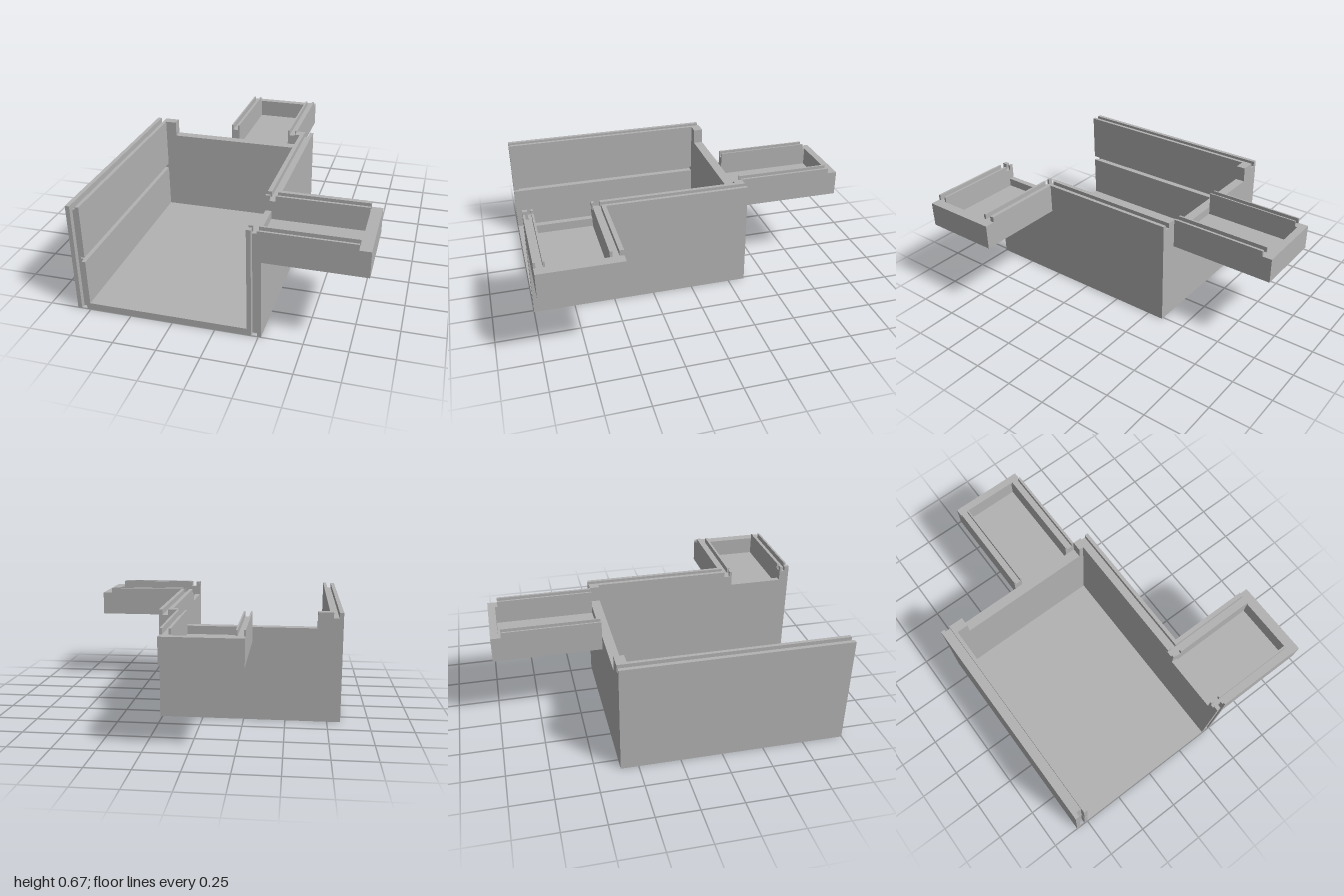
import * as THREE from 'three';

const TOP = 0.665, GROOVE = 0.632, LOW = 0.57, TRAY = 0.48, TRAY_FLOOR = 0.52;

export function createModel() {
  const model = new THREE.Group();
  model.name = 'partsBin';
  const grey = new THREE.MeshStandardMaterial({ color: 0xb2b2b2 });
  grey.name = 'plain grey';

  const add = (parent, name, geometry) => {
    const mesh = new THREE.Mesh(geometry, grey);
    mesh.name = name;
    parent.add(mesh);
  };
  const box = (parent, name, [x0, x1], [y0, y1], [z0, z1]) => {
    const g = new THREE.BoxGeometry(x1 - x0, y1 - y0, z1 - z0);
    g.translate((x0 + x1) / 2, (y0 + y1) / 2, (z0 + z1) / 2);
    add(parent, name, g);
  };
  // Wall section from a to b with a groove g0..g1 in its top edge
  const section = (a, b, g0, g1, y0, slot = []) => [
    [a, y0], [b, y0], ...slot, [b, TOP], [g1, TOP], [g1, GROOVE], [g0, GROOVE], [g0, TOP], [a, TOP],
  ];
  const extrude = (points, depth) => new THREE.ExtrudeGeometry(
    new THREE.Shape(points.map(([u, v]) => new THREE.Vector2(u, v))), { depth, bevelEnabled: false });
  const wallAlongZ = (parent, name, points, z0, z1) =>
    add(parent, name, extrude(points, z1 - z0).translate(0, 0, z0));
  const wallAlongX = (parent, name, points, x0, x1) =>
    add(parent, name, extrude(points.map(([z, y]) => [-z, y]), x1 - x0).rotateY(Math.PI / 2).translate(x0, 0, 0));
  const group = (name) => {
    const g = new THREE.Group();
    g.name = name;
    model.add(g);
    return g;
  };

  // Main bin floor and low back wall with raised corners
  const bin = group('mainBin');
  box(bin, 'floor', [-0.75, 0.185], [0, 0.042], [-0.295, 1]);
  box(bin, 'backWall', [-0.75, 0.185], [0, LOW], [-0.355, -0.295]);
  box(bin, 'backCornerRight', [-0.75, -0.68], [LOW, TOP], [-0.355, -0.295]);
  box(bin, 'backCornerLeft', [0.155, 0.185], [LOW, TOP], [-0.355, -0.295]);

  // Right wall: top groove, inner shelf slot and a front door slot
  const right = group('rightWall');
  const slot = [[-0.75, 0.32], [-0.79, 0.32], [-0.79, 0.35], [-0.75, 0.35]];
  wallAlongZ(right, 'wallEnd', section(-0.83, -0.75, -0.805, -0.772, 0), -0.355, -0.295);
  wallAlongZ(right, 'slottedWall', section(-0.83, -0.75, -0.805, -0.772, 0, slot), -0.295, 0.97);
  box(right, 'outerFrontLip', [-0.83, -0.805], [0, TOP], [0.97, 1]);
  for (const y of [[0, 0.32], [0.35, TOP]])
    box(right, 'innerFrontLip', [-0.772, -0.75], y, [0.97, 1]);

  // Left wall: grooved at the back, cut down where the side tray opens
  const left = group('leftWall');
  wallAlongZ(left, 'groovedWall', section(0.185, 0.265, 0.21, 0.243, 0), -0.355, 0.522);
  box(left, 'wallUnderTray', [0.185, 0.265], [0, TRAY], [0.522, 0.97]);
  box(left, 'traySill', [0.185, 0.22], [TRAY, LOW], [0.6, 0.938]);
  box(left, 'sillBack', [0.185, 0.243], [TRAY, GROOVE], [0.522, 0.6]);
  box(left, 'sillFront', [0.185, 0.243], [TRAY, GROOVE], [0.938, 0.97]);
  for (const z of [[0.522, 0.548], [0.585, 0.6], [0.938, 0.95]])
    box(left, 'innerLip', [0.185, 0.21], [GROOVE, TOP], z);
  box(left, 'innerFrontLip', [0.185, 0.21], [0, TOP], [0.97, 1]);
  box(left, 'outerFrontLip', [0.243, 0.265], [0, TRAY], [0.97, 1]);

  // Side tray with two grooved walls and a lower end
  const side = group('sideTray');
  box(side, 'trayFloor', [0.22, 0.768], [TRAY, TRAY_FLOOR], [0.6, 0.938]);
  wallAlongX(side, 'trayBackWall', section(0.522, 0.6, 0.548, 0.585, TRAY), 0.243, 0.768);
  wallAlongX(side, 'trayFrontWall', section(0.938, 1, 0.95, 0.987, TRAY), 0.243, 0.768);
  box(side, 'trayEnd', [0.768, 0.83], [TRAY, GROOVE], [0.522, 1]);

  // Rear tray of the same kind
  const rear = group('rearTray');
  box(rear, 'trayFloor', [-0.245, 0.093], [TRAY, TRAY_FLOOR], [-0.955, -0.355]);
  wallAlongZ(rear, 'trayRightWall', section(-0.297, -0.245, -0.287, -0.254, TRAY), -0.94, -0.355);
  wallAlongZ(rear, 'trayLeftWall', section(0.093, 0.155, 0.105, 0.14, TRAY), -0.94, -0.355);
  box(rear, 'trayEnd', [-0.297, 0.155], [TRAY, GROOVE], [-1, -0.955]);
  for (const x of [[-0.297, -0.245], [0.093, 0.155]])
    box(rear, 'trayEndCorner', x, [TRAY, GROOVE], [-0.955, -0.94]);

  return model;
}
